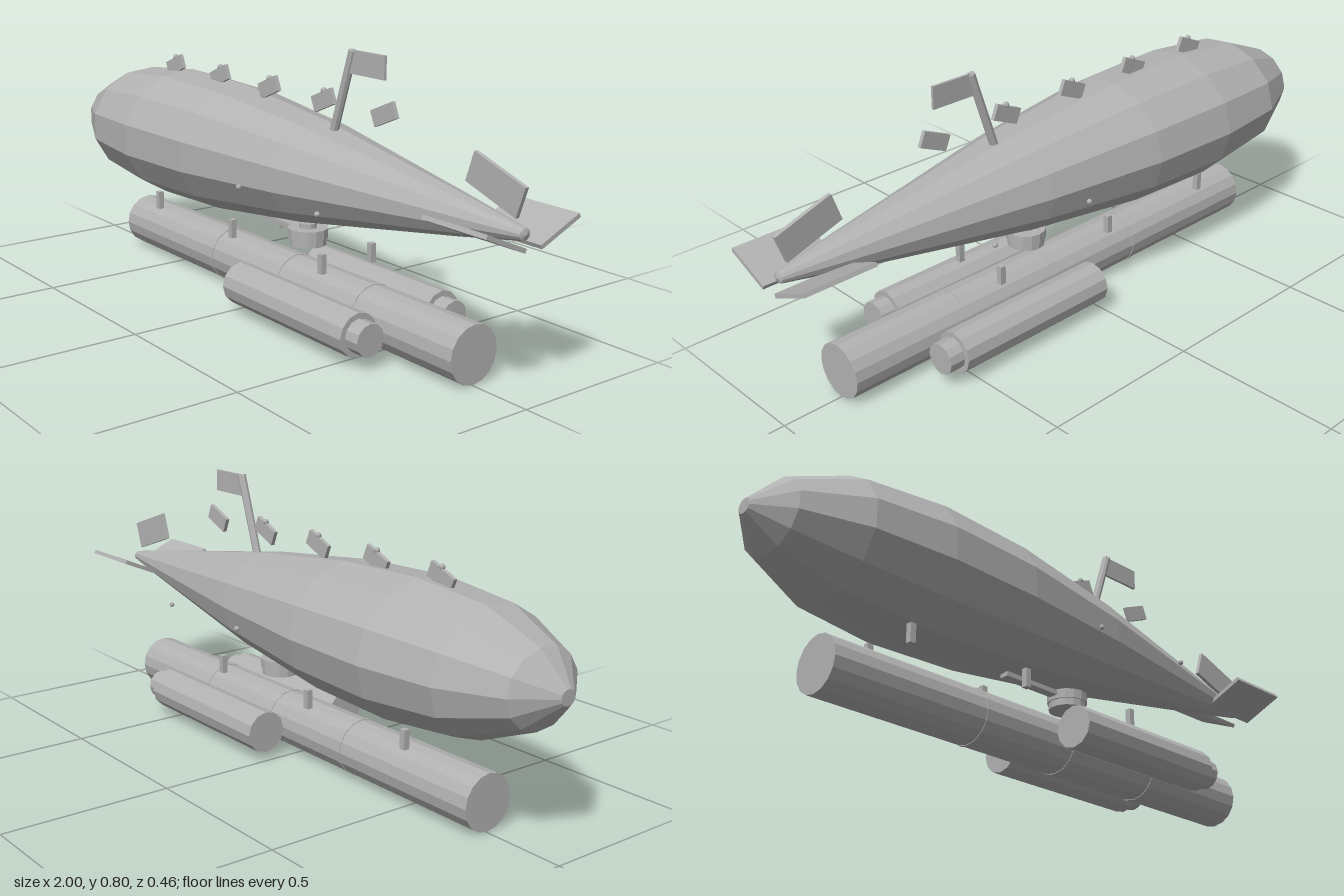
import * as THREE from 'three';

export function createModel() {
  const model = new THREE.Group();
  const grey = new THREE.MeshStandardMaterial({ color: 0xb2b2b2, flatShading: true });
  grey.name = 'hull grey';

  function add(name, geometry, x = 0, y = 0, z = 0) {
    const mesh = new THREE.Mesh(geometry, grey);
    mesh.name = name;
    mesh.position.set(x, y, z);
    model.add(mesh);
    return mesh;
  }
  const box = (w, h, d) => new THREE.BoxGeometry(w, h, d);
  // Cylinder lying along x, from x0 to x1
  function tube(name, x0, x1, r, sides, y, z) {
    const g = new THREE.CylinderGeometry(r, r, x1 - x0, sides).rotateZ(-Math.PI / 2);
    return add(name, g, (x0 + x1) / 2, y, z);
  }

  // Faceted hull, thirteen sides, slightly flattened
  const profile = [
    [-1, 0], [-1, 0.025], [-0.92, 0.125], [-0.745, 0.208], [-0.5, 0.235],
    [-0.2, 0.224], [0.19, 0.172], [0.78, 0.058], [0.97, 0.018], [0.975, 0],
  ].map(([x, r]) => new THREE.Vector2(r, x));
  const hull = new THREE.LatheGeometry(profile, 13, Math.PI);
  hull.rotateZ(-Math.PI / 2).scale(1, 0.855, 1);
  add('hull', hull, 0, 0.437, 0);

  // Tail fins
  add('upperFin', box(0.18, 0.085, 0.012), 0.872, 0.54, 0).rotation.z = -0.33;
  for (const s of [-1, 1]) {
    add('sideFin', box(0.215, 0.012, 0.143), 0.8925, 0.437, s * 0.092).rotation.x = -s * 0.41;
  }

  // Raked mast with its plate
  const mast = add('mast', new THREE.CylinderGeometry(0.0125, 0.0125, 0.255, 8), 0.292, 0.677, 0);
  mast.rotation.z = -0.32;
  add('mastPlate', box(0.14, 0.065, 0.008), 0.394, 0.767, 0);

  // Row of tilted plates along the back
  for (let i = 0; i < 5; i++) {
    const x = -0.56 + i * 0.256;
    add('backPlate', box(0.092, 0.046, 0.012), x, 0.645, 0).rotation.z = 0.4;
    if (i < 4) add('backKnob', new THREE.SphereGeometry(0.009, 8, 6), x, 0.672, 0);
  }

  // Side studs
  for (const x of [0.08, 0.435]) {
    for (const s of [-1, 1]) add('sideStud', new THREE.SphereGeometry(0.008, 8, 6), x, 0.4, s * 0.2);
  }

  // Belly turret and bar
  add('turretTop', new THREE.CylinderGeometry(0.059, 0.059, 0.028, 14), 0.14, 0.249, 0);
  add('turretBase', new THREE.CylinderGeometry(0.055, 0.055, 0.022, 14), 0.14, 0.225, 0);
  add('turretCap', new THREE.CylinderGeometry(0.025, 0.025, 0.014, 10), 0.14, 0.27, 0);
  add('bellyBar', box(0.21, 0.014, 0.03), -0.012, 0.253, 0);

  // Hanging struts
  for (const x of [-0.53, -0.115, 0.318]) {
    for (const s of [-1, 1]) add('strut', box(0.018, 0.056, 0.018), x, 0.215, s * 0.089);
  }

  // Lower main tube with bands
  tube('mainTube', -0.755, 0.82, 0.081, 16, 0.088, 0);
  for (const x of [-0.245, 0.09, 0.43]) tube('tubeBand', x - 0.006, x + 0.006, 0.083, 16, 0.088, 0);

  // Side tubes with nozzles
  for (const s of [-1, 1]) {
    tube('sideTube', 0.01, 0.547, 0.062, 12, 0.09, s * 0.148);
    tube('nozzle', 0.54, 0.595, 0.046, 12, 0.09, s * 0.148);
  }
  return model;
}
